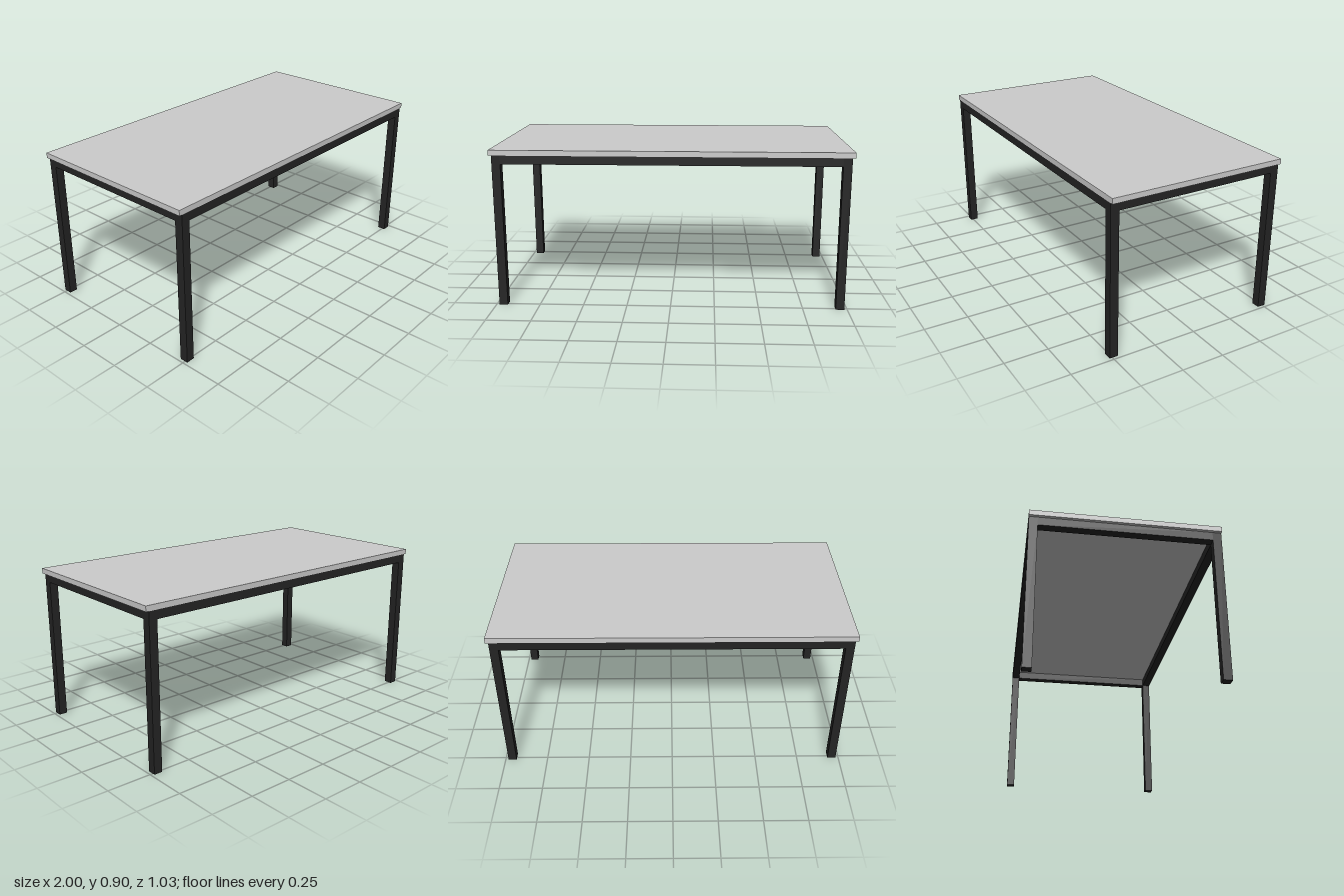
import * as THREE from 'three';

const TUBE = 0.048;      // square tube width of legs and rails
const FRAME_TOP = 0.868; // underside of the table top
const X = 0.959;         // tube centre lines
const Z = 0.492;

export function createModel() {
  const table = new THREE.Group();
  table.name = 'table';
  const topMaterial = new THREE.MeshStandardMaterial({ color: 0xcccccc });
  const frameMaterial = new THREE.MeshStandardMaterial({ color: 0x242424 });

  const addBox = (name, size, position, material = frameMaterial) => {
    const mesh = new THREE.Mesh(new THREE.BoxGeometry(...size), material);
    mesh.name = name;
    mesh.position.set(...position);
    table.add(mesh);
  };

  // Flat top slab
  addBox('tableTop', [2, 0.03, 1.034], [0, FRAME_TOP + 0.015, 0], topMaterial);

  // Four corner legs
  for (const [xName, sx] of [['Left', 1], ['Right', -1]]) {
    for (const [zName, sz] of [['front', 1], ['back', -1]]) {
      addBox(`${zName}${xName}Leg`, [TUBE, FRAME_TOP, TUBE], [sx * X, FRAME_TOP / 2, sz * Z]);
    }
  }

  // Rails between the legs, flush with the leg tops
  const railY = FRAME_TOP - TUBE / 2;
  for (const s of [1, -1]) {
    addBox(s > 0 ? 'frontRail' : 'backRail', [2 * X - TUBE, TUBE, TUBE], [0, railY, s * Z]);
    addBox(s > 0 ? 'leftRail' : 'rightRail', [TUBE, TUBE, 2 * Z - TUBE], [s * X, railY, 0]);
  }

  return table;
}
